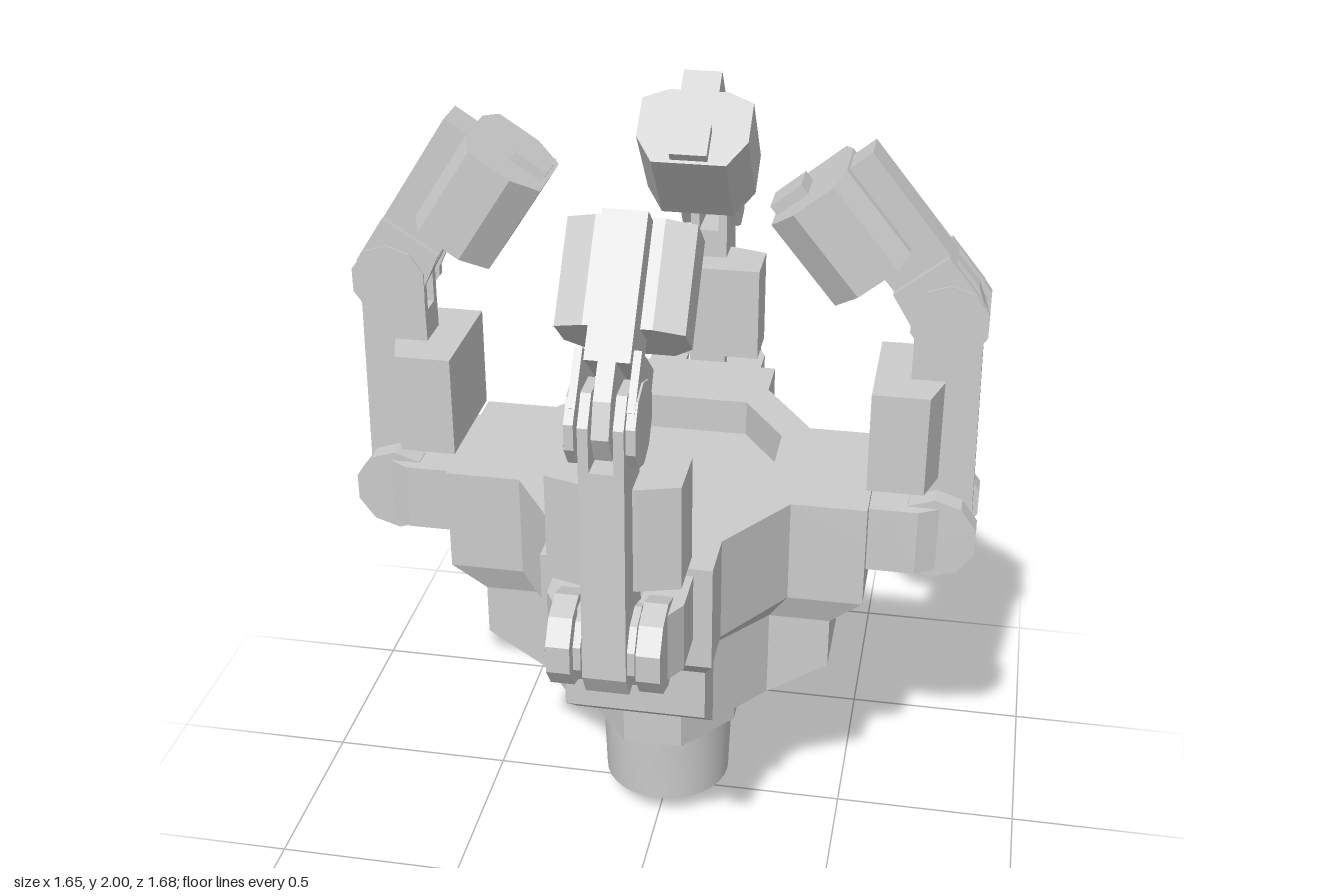
import * as THREE from 'three';
import { mergeVertices, toCreasedNormals } from 'three/addons/utils/BufferGeometryUtils.js';

const flat = new THREE.MeshStandardMaterial({ color: 0xcccccc, flatShading: true });
const smooth = new THREE.MeshStandardMaterial({ color: 0xcccccc, side: THREE.DoubleSide });

function add(parent, name, geometry, material = flat) {
  const mesh = new THREE.Mesh(geometry, material);
  mesh.name = name;
  parent.add(mesh);
  return mesh;
}

const toShape = (pts) => new THREE.Shape(pts.map(([x, y]) => new THREE.Vector2(x, y)));

// Side profile in x/y, extruded across z from z0 to z1
function slab(pts, z0, z1) {
  return new THREE.ExtrudeGeometry(toShape(pts), { depth: z1 - z0, bevelEnabled: false }).translate(0, 0, z0);
}

// Plan outline in x/z, extruded upwards from y0 to y1
function column(pts, y0, y1, hole) {
  const shape = toShape(pts);
  if (hole) shape.holes.push(toShape(hole));
  return new THREE.ExtrudeGeometry(shape, { depth: y1 - y0, bevelEnabled: false }).rotateX(Math.PI / 2).translate(0, y1, 0);
}

// Disc lying across z
function disc(radius, z0, z1, sides, y = 0) {
  return new THREE.CylinderGeometry(radius, radius, z1 - z0, sides).rotateX(Math.PI / 2).translate(0, y, (z0 + z1) / 2);
}

// Completes a quarter outline, running from the x axis to the z axis, into a closed ring
function fourFold(quarter) {
  const back = [...quarter].reverse();
  return [
    ...quarter,
    ...back.map(([x, z]) => [-x, z]),
    ...quarter.map(([x, z]) => [-x, -z]),
    ...back.map(([x, z]) => [x, -z]),
  ];
}

// Cross-shaped plan: arm reaches a (x) and b (z), arm half width w, inner corners cx and cz
const cross = (a, b, w, cx, cz) => fourFold([[a, w], [cx, w], [w, cz], [w, b]]);

// Skins a stack of { y, ring } sections, lowest first, and caps both ends
function loft(sections) {
  const pos = [];
  const at = (s, i) => {
    const [x, z] = s.ring[i % s.ring.length];
    return [x, s.y, z];
  };
  const last = sections.length - 1;
  const n = sections[0].ring.length;
  for (let i = 0; i < n; i++) {
    for (let k = 0; k < last; k++) {
      const lo = sections[k], hi = sections[k + 1];
      pos.push(...at(lo, i), ...at(hi, i), ...at(lo, i + 1));
      pos.push(...at(lo, i + 1), ...at(hi, i), ...at(hi, i + 1));
    }
    pos.push(0, sections[0].y, 0, ...at(sections[0], i), ...at(sections[0], i + 1));
    pos.push(0, sections[last].y, 0, ...at(sections[last], i + 1), ...at(sections[last], i));
  }
  const g = new THREE.BufferGeometry();
  g.setAttribute('position', new THREE.Float32BufferAttribute(pos, 3));
  g.computeVertexNormals();
  return g;
}

function makePalm() {
  const palm = new THREE.Group();
  palm.name = 'palm';
  const upper = cross(0.55, 0.565, 0.212, 0.355, 0.425);
  const lower = cross(0.465, 0.475, 0.182, 0.305, 0.34);
  add(palm, 'palmBody', loft([
    { y: 0.485, ring: cross(0.305, 0.34, 0.182, 0.304, 0.339) },
    { y: 0.59, ring: lower },
    { y: 0.73, ring: lower },
    { y: 0.81, ring: upper },
    { y: 0.99, ring: upper },
  ]));
  // Raised rim around the octagonal recess
  add(palm, 'palmRim', column(upper, 0.99, 1.09, fourFold([[0.285, 0.152], [0.162, 0.335]])));
  return palm;
}

function makeConnector() {
  const connector = new THREE.Group();
  connector.name = 'connector';
  add(connector, 'neck', column(fourFold([[0.203, 0.085], [0.08, 0.238]]), 0.31, 0.49));
  // Hollow socket, open at the bottom
  const profile = [[0, 0.25], [0.155, 0.25], [0.155, 0.07], [0.176, 0.07], [0.184, 0.31], [0, 0.31]];
  const socket = new THREE.LatheGeometry(profile.map(([x, y]) => new THREE.Vector2(x, y)), 32);
  add(connector, 'socket', toCreasedNormals(mergeVertices(socket), 0.6), smooth);
  // Half-round key in front, three pins behind
  const key = new THREE.CylinderGeometry(0.125, 0.125, 0.22, 16, 1, false, -Math.PI / 2, Math.PI);
  key.translate(0, 0.145, 0);
  add(connector, 'key', key, smooth);
  add(connector, 'keyBack', new THREE.PlaneGeometry(0.25, 0.22).rotateY(Math.PI).translate(0, 0.145, 0));
  for (const [x, z] of [[-0.055, -0.04], [0.02, -0.095], [0.08, -0.04]]) {
    add(connector, 'pin', new THREE.CylinderGeometry(0.02, 0.02, 0.25, 10).translate(x, 0.125, z));
  }
  return connector;
}

// Finger pointing out along +x, with its knuckle axis at x = 0 before placement
function makeFinger(reach, bend) {
  const finger = new THREE.Group();
  finger.name = 'finger';

  // Bracket with two cheeks holding the base knuckle
  add(finger, 'bracketBase', new THREE.BoxGeometry(0.1, 0.18, 0.33).translate(-0.16, 0.98, 0));
  for (const s of [-1, 1]) {
    const cheek = [[-0.12, s * 0.165], [-0.04, s * 0.165], [0.02, s * 0.13], [0.02, s * 0.06], [-0.12, s * 0.06]];
    add(finger, 'bracketCheek', column(cheek, 0.89, 1.07));
    const span = (a, b) => (s > 0 ? [a, b] : [-b, -a]);
    add(finger, 'baseKnuckle', disc(0.114, ...span(0.078, 0.135), 10, 0.98));
    add(finger, 'baseWasher', disc(0.1, ...span(0.055, 0.073), 10, 0.98));
    add(finger, 'upperKnuckle', disc(0.1, ...span(0.058, 0.08), 10, 1.56));
    // Fork at the top of the lower link
    const lug = [[-0.085, 1.46], [0.085, 1.46], [0.085, 1.58], [0.04, 1.645], [-0.04, 1.645], [-0.085, 1.58]];
    add(finger, 'linkFork', slab(lug, ...span(0.028, 0.052)));
  }
  add(finger, 'baseAxle', disc(0.04, -0.13, 0.13, 10, 0.98));
  add(finger, 'upperAxle', disc(0.035, -0.07, 0.07, 10, 1.56));

  // Lower link and its pad
  add(finger, 'lowerLink', slab(
    [[-0.09, 0.93], [-0.06, 0.87], [0.06, 0.87], [0.095, 0.93], [0.085, 1.47], [-0.085, 1.47]], -0.052, 0.052));
  add(finger, 'lowerPad', column(
    [[-0.175, -0.16], [-0.03, -0.16], [0, -0.06], [0, 0.06], [-0.03, 0.16], [-0.175, 0.16]], 1.12, 1.39));

  // Fingertip, bent inwards about the upper knuckle
  const tip = new THREE.Group();
  tip.name = 'fingertip';
  tip.position.y = 1.56;
  tip.rotation.z = bend;
  add(tip, 'tipTongue', slab([[0.098, 0.02], [0.098, 0.14], [-0.07, 0.14], [-0.08, 0], [0, -0.09], [0.07, -0.06]], -0.02, 0.02));
  add(tip, 'tipLink', slab([[0.098, 0.11], [0.098, 0.455], [-0.07, 0.455], [-0.07, 0.11]], -0.052, 0.052));
  for (const s of [-1, 1]) {
    const cheek = [[0.098, 0], [0.098, 0.14], [-0.07, 0.14], [-0.09, 0]];
    add(tip, 'tipCheek', slab(cheek, s * 0.066 - 0.009, s * 0.066 + 0.009));
  }
  add(tip, 'tipPad', column(fromHalf([[0.03, 0.08], [0, 0.15], [-0.12, 0.15], [-0.195, 0.1]]), 0.205, 0.462));
  add(tip, 'tipNub', new THREE.BoxGeometry(0.095, 0.1, 0.1).translate(-0.138, 0.44, 0));
  finger.add(tip);

  finger.children.forEach((part) => { part.position.x += reach; });
  return finger;
}

// Mirrors half an outline across the x axis
function fromHalf(half) {
  return [...half, ...[...half].reverse().map(([x, z]) => [x, -z])];
}

export function createModel() {
  const model = new THREE.Group();
  model.name = 'gripper';
  model.add(makePalm(), makeConnector());
  // Four fingers around the palm; one is held slightly more open
  for (let k = 0; k < 4; k++) {
    const finger = makeFinger(k % 2 ? 0.733 : 0.715, k === 2 ? 0.575 : 0.685);
    finger.rotation.y = (k * Math.PI) / 2;
    model.add(finger);
  }
  return model;
}
